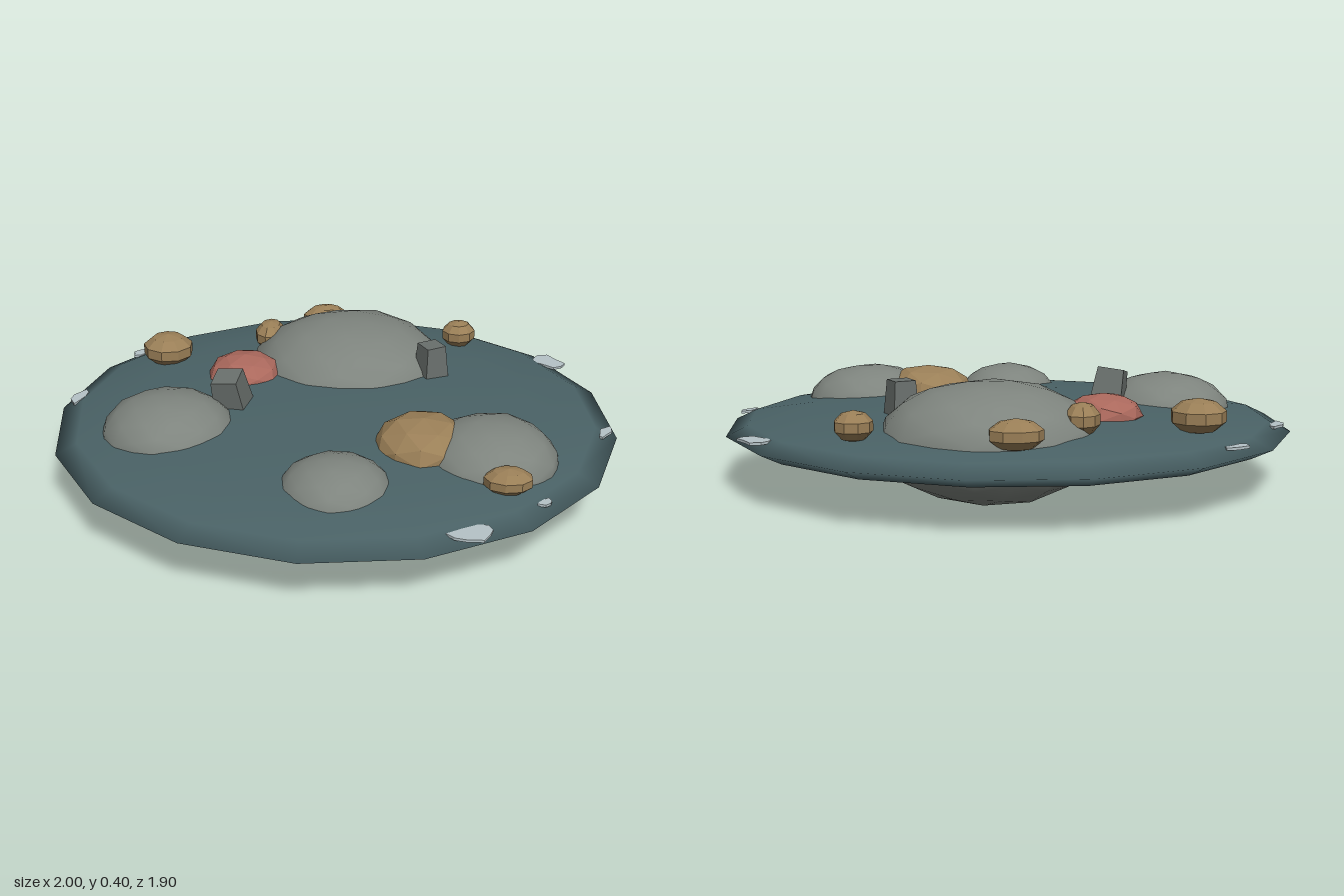
import * as THREE from 'three';
import { mergeVertices } from 'three/addons/utils/BufferGeometryUtils.js';

const paint = (name, color, flatShading = false) => {
  const m = new THREE.MeshStandardMaterial({ color, flatShading });
  m.name = name;
  return m;
};

// Smooth, slightly uneven rounded stone of unit radius
function stoneGeometry(detail, wobble, seed) {
  let g = new THREE.IcosahedronGeometry(1, detail);
  g.deleteAttribute('uv');
  g.deleteAttribute('normal');
  g = mergeVertices(g, 1e-3);
  const p = g.attributes.position;
  const v = new THREE.Vector3();
  for (let i = 0; i < p.count; i++) {
    v.fromBufferAttribute(p, i);
    v.multiplyScalar(1 + wobble * Math.sin(5 * v.x + seed) * Math.cos(4 * v.z + 3 * v.y + seed));
    p.setXYZ(i, v.x, v.y, v.z);
  }
  g.computeVertexNormals();
  return g;
}

// Box narrowing towards its top
function wedgeGeometry(w, h, d, taper) {
  const g = new THREE.BoxGeometry(w, h, d);
  const p = g.attributes.position;
  for (let i = 0; i < p.count; i++) {
    if (p.getY(i) > 0) p.setXYZ(i, p.getX(i) * taper, p.getY(i), p.getZ(i) * taper);
  }
  g.computeVertexNormals();
  return g;
}

// Thin ragged flake lying flat
function flakeGeometry(seed) {
  const pts = [];
  for (let i = 0; i < 9; i++) {
    const a = (i / 9) * Math.PI * 2;
    const r = 0.9 + 0.18 * Math.sin(i * 2.4 + seed);
    pts.push(new THREE.Vector2(Math.cos(a) * r, Math.sin(a) * r));
  }
  const g = new THREE.ExtrudeGeometry(new THREE.Shape(pts), { depth: 0.009, bevelEnabled: false });
  return g.rotateX(-Math.PI / 2);
}

export function createModel() {
  const model = new THREE.Group();
  const sea = paint('slate teal', 0x4a6266);
  const grey = paint('stone grey', 0x7e847e);
  const dark = paint('dark stone', 0x696f6c, true);
  const tan = paint('tan', 0x9a7f57, true);
  const red = paint('coral red', 0xaa685c, true);
  const pale = paint('pale flake', 0xb6c3c7);

  const add = (name, geometry, material, pos, scale = [1, 1, 1], rot = [0, 0, 0]) => {
    const mesh = new THREE.Mesh(geometry, material);
    mesh.name = name;
    mesh.position.set(...pos);
    mesh.scale.set(...scale);
    mesh.rotation.set(...rot);
    model.add(mesh);
  };

  // Flattened base disc
  add('base', new THREE.SphereGeometry(1, 16, 8), sea, [0, 0.185, 0], [1, 0.095, 0.95]);

  // Large boulders passing through the disc
  [
    [[0.005, 0.205, -0.42], [0.375, 0.203, 0.36]],
    [[-0.555, 0.21, 0.205], [0.24, 0.147, 0.235]],
    [[0.56, 0.21, 0.275], [0.24, 0.147, 0.235]],
    [[0.07, 0.205, 0.55], [0.193, 0.127, 0.19]],
  ].forEach(([pos, scale], i) => add('boulder' + (i + 1), stoneGeometry(2, 0.02, i * 1.7), grey, pos, scale));

  // Faceted tan pebbles
  const pebble = new THREE.SphereGeometry(1, 9, 5);
  [
    [[-0.68, 0.29, -0.34], [0.098, 0.06, 0.09], 0.1],
    [[-0.125, 0.285, -0.73], [0.092, 0.052, 0.06], 0.2],
    [[-0.31, 0.3, -0.5], [0.062, 0.055, 0.08], 0],
    [[0.41, 0.283, -0.635], [0.067, 0.052, 0.06], 0.3],
    [[0.625, 0.265, 0.5], [0.085, 0.045, 0.062], 0.1],
  ].forEach(([pos, scale, turn], i) => add('pebble' + (i + 1), pebble, tan, pos, scale, [0, turn, 0]));

  // Big tan lump and red lump
  add('tanLump', stoneGeometry(1, 0.03, 1), tan, [0.335, 0.255, 0.27], [0.17, 0.105, 0.17]);
  add('redLump', stoneGeometry(1, 0.03, 2), red, [-0.36, 0.265, -0.21], [0.135, 0.075, 0.135]);

  // Tapered stone blocks
  add('leaningBlock', wedgeGeometry(0.12, 0.18, 0.12, 0.78), dark, [-0.36, 0.295, 0.06], [1, 1, 1], [0.2, -0.1, 0.14]);
  add('standingBlock', wedgeGeometry(0.1, 0.16, 0.1, 0.75), dark, [0.325, 0.303, -0.285], [1, 1, 1], [0, 0.6, 0]);

  // Pale flakes scattered round the rim
  [
    [0.76, -0.56, 0.075, 0.05, -0.7],
    [-0.81, -0.46, 0.055, 0.025, 0.85],
    [-0.95, -0.035, 0.06, 0.025, 1.4],
    [0.957, 0.015, 0.05, 0.02, 1.2],
    [0.525, 0.755, 0.085, 0.05, 0.4],
    [0.747, 0.537, 0.032, 0.018, 0.8],
  ].forEach(([x, z, w, d, turn], i) => {
    add('flake' + (i + 1), flakeGeometry(i), pale, [x, 0.208, z], [w, 1, d], [0, turn, 0]);
  });

  return model;
}
